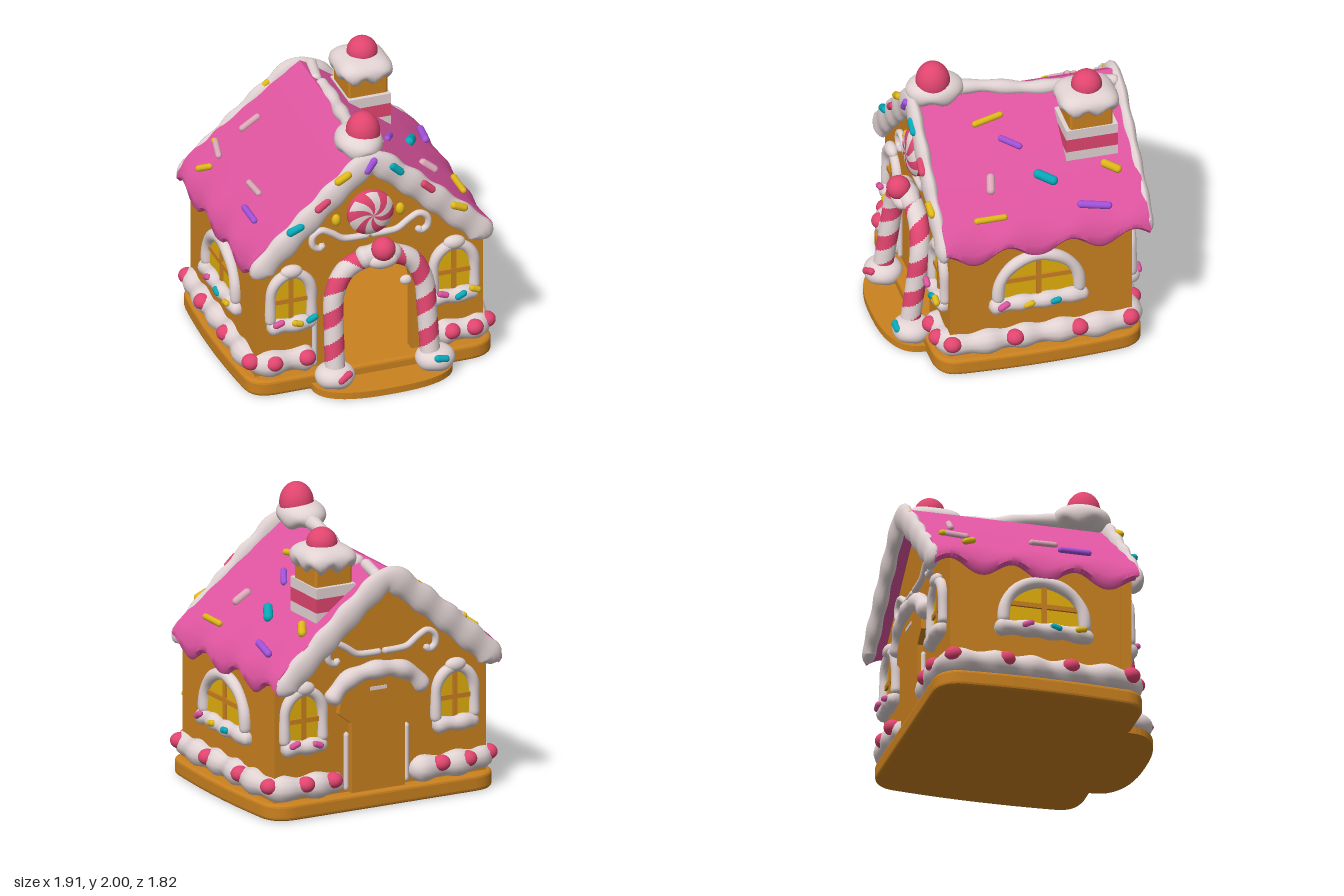
import * as THREE from 'three';
import { mergeVertices, toCreasedNormals } from 'three/addons/utils/BufferGeometryUtils.js';
import { RoundedBoxGeometry } from 'three/addons/geometries/RoundedBoxGeometry.js';
import { ParametricGeometry } from 'three/addons/geometries/ParametricGeometry.js';

const colour = (name, hex, side = THREE.FrontSide) => {
  const m = new THREE.MeshStandardMaterial({ color: hex, side });
  m.name = name;
  return m;
};
const V = (x, y, z = 0) => new THREE.Vector3(x, y, z);

export function createModel() {
  const ginger = colour('gingerbread', 0xca811f, THREE.DoubleSide);
  const icing = colour('icing', 0xe2d3d3);
  const pink = colour('pink frosting', 0xde549f);
  const cherry = colour('cherry red', 0xe0456f);
  const glass = colour('yellow glass', 0xe3b00c);
  const yellow = colour('yellow candy', 0xe0b81a);
  const teal = colour('teal candy', 0x08a9ba);
  const purple = colour('purple candy', 0xa352dc);
  const pale = colour('pale pink candy', 0xdfa9ba);
  const root = new THREE.Group();
  root.name = 'gingerbreadHouse';

  const add = (name, geo, mat, x = 0, y = 0, z = 0, parent = root) => {
    const m = new THREE.Mesh(geo, mat);
    m.name = name;
    m.position.set(x, y, z);
    parent.add(m);
    return m;
  };
  const ball = (name, mat, x, y, z, rx, ry = rx, rz = rx, parent = root) =>
    add(name, new THREE.SphereGeometry(1, 24, 16), mat, x, y, z, parent).scale.set(rx, ry, rz);
  const extrude = (shape, depth, opts = {}) =>
    new THREE.ExtrudeGeometry(shape, { depth, bevelEnabled: false, curveSegments: 20, ...opts });
  const poly = pts => new THREE.Shape(pts.map(p => new THREE.Vector2(p[0], p[1])));
  const smooth = g => {
    g.deleteAttribute('uv');
    g.deleteAttribute('normal');
    const m = mergeVertices(g, 1e-5);
    m.computeVertexNormals();
    return m;
  };

  // Piped icing: a lumpy tube with rounded ends
  const pipe = (name, pts, r, wave = 0, lumps = 0, parent = root) => {
    const curve = new THREE.CatmullRomCurve3(pts, false, 'centripetal');
    const len = curve.getLength(), n = Math.max(24, Math.ceil(len * 60)), rad = 12;
    const g = new THREE.TubeGeometry(curve, n, r, rad);
    const p = g.attributes.position, v = V(0, 0);
    for (let i = 0; i <= n; i++) {
      const c = curve.getPointAt(i / n), d = Math.min(i, n - i) / n * len;
      const end = d < r ? Math.sqrt(1 - (1 - d / r) ** 2) : 1;
      const s = end * (1 + wave * Math.sin(i / n * len * lumps));
      for (let j = 0; j <= rad; j++) {
        const k = i * (rad + 1) + j;
        v.fromBufferAttribute(p, k).sub(c).multiplyScalar(s).add(c);
        p.setXYZ(k, v.x, v.y, v.z);
      }
    }
    return add(name, smooth(g), icing, 0, 0, 0, parent);
  };

  // Sprinkle: a capsule between two points
  const sprinkle = (mat, a, b, r = 0.023, parent = root) => {
    const d = b.clone().sub(a), mid = a.clone().add(b).multiplyScalar(0.5);
    const m = add('sprinkle', new THREE.CapsuleGeometry(r, Math.max(0.01, d.length() - 2 * r), 5, 10), mat, mid.x, mid.y, mid.z, parent);
    m.quaternion.setFromUnitVectors(V(0, 1), d.normalize());
  };

  // Icing cap: a squarish dome with a dripping lower rim
  const cap = (name, x, y, z, rx, ry, rz, power, drips, drip) => {
    const g = new THREE.SphereGeometry(1, 40, 20), p = g.attributes.position;
    for (let i = 0; i < p.count; i++) {
      const px = p.getX(i), py = p.getY(i), pz = p.getZ(i), a = Math.atan2(pz, px);
      const c = Math.cos(a), s = Math.sin(a), flat = Math.hypot(px, pz) ** 0.7;
      const k = flat / (Math.abs(c) ** power + Math.abs(s) ** power) ** (1 / power);
      const drop = py < 0.3 ? drip * flat * Math.sin(a * drips) * (0.3 - py) : 0;
      p.setXYZ(i, c * k * rx, (py + drop) * ry, s * k * rz);
    }
    add(name, smooth(g), icing, x, y, z);
  };

  // Base slab with gently bowed sides, and porch
  const slab = new THREE.Shape();
  slab.moveTo(-0.7, -0.635).lineTo(0.7, -0.635).quadraticCurveTo(0.87, -0.635, 0.88, -0.5)
    .quadraticCurveTo(0.93, 0.08, 0.88, 0.64).quadraticCurveTo(0.87, 0.805, 0.7, 0.805).lineTo(-0.7, 0.805)
    .quadraticCurveTo(-0.87, 0.805, -0.88, 0.64).quadraticCurveTo(-0.93, 0.08, -0.88, -0.5).quadraticCurveTo(-0.87, -0.635, -0.7, -0.635);
  const bevel = { bevelEnabled: true, bevelThickness: 0.025, bevelSize: 0.025, bevelSegments: 3 };
  add('base', extrude(slab, 0.07, bevel).rotateX(-Math.PI / 2), ginger, 0, 0.025, 0);
  const porch = [];
  for (let i = 0; i < 48; i++) {
    const a = i / 24 * Math.PI, c = Math.cos(a), s = Math.sin(a);
    porch.push([0.05 + 0.51 * Math.sign(c) * Math.abs(c) ** 0.8, -0.65 + 0.26 * Math.sign(s) * Math.abs(s) ** 0.8]);
  }
  add('porch', extrude(poly(porch), 0.05).rotateX(-Math.PI / 2), ginger);

  // Walls: hollow, with an arched doorway in front
  const gable = [[-0.835, 0.1], [0.835, 0.1], [0.835, 0.98], [0, 1.63], [-0.835, 0.98]];
  const front = poly(gable), hole = new THREE.Path();
  hole.moveTo(-0.23, 0.12).lineTo(-0.23, 0.64).absarc(0.04, 0.65, 0.27, Math.PI, 0, true).lineTo(0.31, 0.12).lineTo(-0.23, 0.12);
  front.holes.push(hole);
  add('frontWall', extrude(front, 0.08), ginger, 0, 0, 0.48);
  add('backWall', extrude(poly(gable), 0.08), ginger, 0, 0, -0.74);
  for (const s of [-1, 1]) add('sideWall', new THREE.BoxGeometry(0.08, 0.92, 1.29), ginger, s * 0.794, 0.56, -0.09);
  add('innerSkirting', new THREE.BoxGeometry(0.9, 0.055, 0.03), icing, 0.04, 0.235, -0.645);
  ball('doorwayDrop', icing, 0.28, 0.66, 0.535, 0.045, 0.035, 0.03);

  // Roof with scalloped eaves
  const half = [[0.08, 1.68], [0.2, 1.59], [0.4, 1.44], [0.6, 1.285], [0.78, 1.14], [0.85, 1.07], [0.89, 1.0],
    [0.895, 0.95], [0.87, 0.92], [0.83, 0.94], [0.8, 1.0], [0.6, 1.17], [0.3, 1.41]];
  const mirror = half.map(([x, y]) => [-x, y]).reverse();
  const roofGeo = extrude(poly([[0, 1.72], ...half, [0, 1.64], ...mirror]), 1.46, { steps: 56 });
  roofGeo.translate(0, 0, -0.86);
  const rp = roofGeo.attributes.position;
  for (let i = 0; i < rp.count; i++) {
    const y = rp.getY(i), w = THREE.MathUtils.clamp((1.1 - y) / 0.16, 0, 1);
    rp.setY(i, y - w * 0.05 * Math.cos(14 * (rp.getZ(i) - 0.38)));
  }
  add('roof', toCreasedNormals(roofGeo, 0.9), pink);
  const roofY = x => 1.745 - 0.76 * Math.abs(x);

  // Flattened icing along the gables, and icing on the ridge
  const side = [[0.2, 1.51], [0.4, 1.345], [0.6, 1.17], [0.76, 1.03], [0.805, 0.97], [0.81, 0.91]];
  for (const [z, lift] of [[0.605, 0.05], [-0.855, 0.01]]) {
    const line = [...side.map(([x, y]) => [-x, y]).reverse(), [0, 1.635], ...side];
    const trim = pipe('gableIcing', line.map(([x, y]) => V(x, y + lift * Math.max(0, 1 - Math.abs(x) / 0.8), 0)), 0.094, 0.08, 26);
    trim.scale.z = 0.5;
    trim.position.z = z;
  }
  pipe('ridgeIcing', [V(-0.02, 1.76, 0.3), V(0, 1.75, 0.1), V(0.03, 1.71, -0.15), V(0.045, 1.695, -0.3), V(0.05, 1.69, -0.56)], 0.048, 0.12, 22);
  pipe('ridgeIcing', [V(0.03, 1.69, -0.57), V(0.09, 1.68, -0.86)], 0.04);
  cap('frontPeakIcing', -0.03, 1.775, 0.43, 0.163, 0.095, 0.205, 2, 5, 0.22);
  ball('peakCherry', cherry, -0.005, 1.855, 0.45, 0.12, 0.145);

  // Chimney
  add('chimney', new RoundedBoxGeometry(0.29, 0.5, 0.31, 2, 0.02), ginger, 0.345, 1.55, -0.55);
  for (const [y, h, m] of [[1.285, 0.3, icing], [1.485, 0.1, cherry], [1.572, 0.075, icing]])
    add('chimneyBand', new THREE.BoxGeometry(0.31, h, 0.37), m, 0.345, y, -0.55);
  cap('chimneyIcing', 0.345, 1.785, -0.55, 0.195, 0.095, 0.21, 4, 8, 0.3);
  ball('chimneyCherry', cherry, 0.355, 1.88, -0.55, 0.108);

  // Wavy icing round the foot of the walls, with cherries
  for (const [s, f, b] of [[1, 0.47, 0.3], [-1, 0.4, 0.22]]) {
    pipe('footIcing', [V(s * f, 0.205, 0.565), V(s * 0.6, 0.22, 0.57), V(s * 0.76, 0.215, 0.565), V(s * 0.825, 0.215, 0.49),
      V(s * 0.83, 0.215, 0), V(s * 0.825, 0.215, -0.66), V(s * 0.76, 0.215, -0.74), V(s * b, 0.205, -0.745)], 0.085, 0.14, 24);
  }
  const gems = [[-0.72, 0.625], [-0.48, 0.625], [0.58, 0.625], [0.75, 0.625], [0.62, -0.8], [0.4, -0.8], [-0.45, -0.8], [-0.66, -0.8]];
  for (const s of [-1, 1]) gems.push([s * 0.865, 0.55], [s * 0.89, 0.11], [s * 0.89, -0.35], [s * 0.865, -0.72]);
  gems.forEach(([x, z]) => ball('footCherry', cherry, x, 0.24, z, 0.064, 0.056));

  // Arched window: glass, bars, icing frame, sill and sprinkles, built facing +z
  const windowUnit = (x, z, turn, w, spring, top, sill, r, candies) => {
    const g = new THREE.Group();
    g.name = 'window';
    const arch = [];
    for (let i = 0; i <= 12; i++) {
      const a = Math.PI * (1 - i / 12);
      arch.push([w * Math.cos(a), spring + (top - spring) * Math.sin(a)]);
    }
    const outline = [[-w, 0.52], ...arch, [w, 0.52]];
    add('glass', extrude(poly(outline), 0.008), glass, 0, 0, 0.002, g);
    add('uprightBar', new THREE.BoxGeometry(0.034, top - 0.52, 0.03), ginger, 0, (top + 0.52) / 2, 0.012, g);
    add('crossBar', new THREE.BoxGeometry(2 * w, 0.034, 0.03), ginger, 0, 0.69, 0.012, g);
    pipe('frame', outline.map(([a, b]) => V(a, b, 0.018)), r, 0.06, 22, g);
    pipe('sill', [V(-sill, 0.49, 0.015), V(-sill / 2, 0.505, 0.025), V(0, 0.5, 0.03), V(sill / 2, 0.505, 0.025), V(sill, 0.49, 0.015)], 0.055, 0.1, 34, g);
    if (w < 0.2) ball('frameDrop', icing, 0, top + 0.02, 0.025, 0.08, 0.05, 0.045, g);
    for (const [m, cx, cy, t] of candies)
      sprinkle(m, V(cx - 0.042, cy - t, 0.078), V(cx + 0.042, cy + t, 0.078), 0.023, g);
    g.position.set(x, 0, z);
    g.rotation.y = turn;
    root.add(g);
  };
  const small = [0.15, 0.73, 0.9, 0.18, 0.038], wide = [0.29, 0.6, 0.87, 0.36, 0.042];
  windowUnit(-0.58, 0.56, 0, ...small, [[pink, -0.11, 0.55, 0.015], [yellow, 0.03, 0.53, -0.012], [teal, 0.135, 0.55, 0.02]]);
  windowUnit(0.615, 0.56, 0, ...small, [[pink, -0.1, 0.55, -0.015], [teal, 0.03, 0.52, 0.02], [yellow, 0.135, 0.55, -0.018]]);
  windowUnit(0.615, -0.74, Math.PI, ...small, [[pink, -0.1, 0.54, 0.015], [pink, 0.08, 0.52, -0.015]]);
  windowUnit(-0.58, -0.74, Math.PI, ...small, []);
  windowUnit(0.835, -0.07, Math.PI / 2, ...wide, [[pink, -0.265, 0.525, 0.025], [yellow, -0.085, 0.51, 0.01], [teal, 0.105, 0.51, 0.005]]);
  windowUnit(-0.835, -0.07, -Math.PI / 2, ...wide, [[pink, -0.13, 0.52, 0.02], [teal, 0.07, 0.515, -0.01], [yellow, 0.25, 0.52, 0.01]]);

  // Candy-cane arch, with its triangles sorted into two stripe colours
  const post = [[0.35, 0.1, 0.73], [0.342, 0.45, 0.68], [0.325, 0.72, 0.645], [0.23, 0.89, 0.63]];
  const caneLine = [...post.map(([x, y, z]) => V(0.04 - x, y, z)), V(0.04, 0.96, 0.63), ...post.map(([x, y, z]) => V(0.04 + x, y, z)).reverse()];
  const cane = new THREE.TubeGeometry(new THREE.CatmullRomCurve3(caneLine), 400, 0.07, 24);
  const stripes = [[], []], idx = Array.from(cane.index.array);
  for (let i = 0; i < idx.length; i += 6) {
    const q = i / 6, along = Math.floor(q / 24) / 400, round = (q % 24) / 24;
    stripes[Math.floor((along * 9 + round) * 2) % 2].push(...idx.slice(i, i + 6));
  }
  cane.setIndex([...stripes[0], ...stripes[1]]);
  cane.addGroup(0, stripes[0].length, 0);
  cane.addGroup(stripes[0].length, stripes[1].length, 1);
  add('candyCaneArch', cane, [cherry, icing]);
  for (const x of [-0.31, 0.425]) cap('caneFoot', x, 0.12, 0.72, 0.14, 0.082, 0.135, 2, 4, 0.08);
  sprinkle(cherry, V(-0.33, 0.125, 0.85), V(-0.22, 0.175, 0.815), 0.026);
  sprinkle(teal, V(0.38, 0.17, 0.835), V(0.49, 0.15, 0.83), 0.026);
  pipe('archIcing', [V(-0.13, 0.95, 0.64), V(0.04, 0.985, 0.65), V(0.2, 0.95, 0.64)], 0.078, 0.08, 40);
  ball('archIcingDrop', icing, 0.05, 0.95, 0.7, 0.11, 0.06, 0.06);
  ball('archCherry', cherry, 0.05, 1.045, 0.71, 0.085);

  // Back door with an icing hood
  const door = poly([[-0.17, 0.1], [0.25, 0.1], [0.25, 0.62], [0.35, 0.7], [0.33, 0.82], [0.2, 0.93], [0.04, 0.96],
    [-0.12, 0.93], [-0.25, 0.82], [-0.27, 0.7], [-0.17, 0.62]]);
  add('backDoor', extrude(door, 0.05), ginger, 0, 0, -0.785);
  pipe('doorHood', [V(-0.34, 0.78, -0.76), V(-0.2, 0.93, -0.77), V(0.04, 0.98, -0.78), V(0.28, 0.93, -0.77), V(0.42, 0.78, -0.76)], 0.063, 0.1, 30);
  add('doorSlot', new THREE.BoxGeometry(0.13, 0.025, 0.01), icing, 0.04, 0.85, -0.786);

  // Thin icing lines beside the doors, and scrolls above them
  for (const [x, z] of [[-0.405, 0.57], [0.275, -0.75], [-0.2, -0.75]]) pipe('doorLine', [V(x, 0.13, z), V(x, 0.56, z)], 0.018);
  for (const z of [0.58, -0.76])
    for (const s of [-1, 1]) pipe('scroll', [[0, 1.1], [0.12, 1.1], [0.2, 1.11], [0.29, 1.17], [0.36, 1.2], [0.42, 1.16], [0.42, 1.09], [0.37, 1.06], [0.34, 1.1]]
      .map(([x, y]) => V(s * x, y, z)), 0.024);

  // Peppermint with swirled sectors, and gumdrops
  add('peppermintRim', new THREE.CylinderGeometry(0.165, 0.165, 0.06, 40).rotateX(Math.PI / 2), cherry, 0, 1.28, 0.57);
  for (let k = 0; k < 12; k++) {
    const sector = new ParametricGeometry((u, v, t) => {
      const r = 0.002 + 0.998 * u, a = (k + v) * Math.PI / 6 + r * 0.8;
      t.set(0.166 * r * Math.cos(a), 0.166 * r * Math.sin(a), 0.045 * (1 - r ** 4));
    }, 12, 5);
    add('peppermintSector', sector, k % 2 ? icing : cherry, 0, 1.28, 0.601);
  }
  for (const x of [-0.245, 0.225]) ball('gumdrop', yellow, x, 1.255, 0.57, 0.032, 0.045, 0.03);

  // Sprinkles on the front gable icing: middle x, y and tilt
  [[yellow, -0.22, 1.62, 0.5], [purple, -0.02, 1.68, 0.95], [teal, 0.17, 1.62, -0.75], [cherry, -0.37, 1.435, 0.65],
    [teal, -0.57, 1.28, 0.4], [cherry, 0.4, 1.435, -0.75], [yellow, 0.63, 1.23, -0.4]].forEach(([m, x, y, a]) => {
    const dx = 0.068 * Math.cos(a), dy = 0.068 * Math.sin(a);
    sprinkle(m, V(x - dx, y - dy, 0.642), V(x + dx, y + dy, 0.642), 0.028);
  });

  // Sprinkles on the roof: x and z of both ends
  [[yellow, 0.18, 0, 0.22, 0.23], [purple, 0.39, -0.08, 0.31, 0.07], [teal, 0.62, -0.27, 0.54, -0.12, 0.034],
    [pale, 0.51, 0.18, 0.63, 0.21, 0.03], [yellow, 0.77, 0.13, 0.77, 0.37], [purple, 0.8, -0.61, 0.76, -0.37, 0.027],
    [yellow, 0.61, -0.73, 0.54, -0.6, 0.03], [yellow, -0.83, -0.64, -0.75, -0.54], [pale, -0.65, -0.76, -0.69, -0.56],
    [pale, -0.51, -0.64, -0.37, -0.62], [pale, -0.64, -0.12, -0.63, 0.09], [purple, -0.74, 0.06, -0.74, 0.3],
    [yellow, -0.66, -0.77, -0.655, -0.7], [yellow, -0.27, -0.85, -0.21, -0.85]].forEach(([m, x0, z0, x1, z1, r]) =>
    sprinkle(m, V(x0, roofY(x0) + 0.01, z0), V(x1, roofY(x1) + 0.01, z1), r));

  return root;
}
